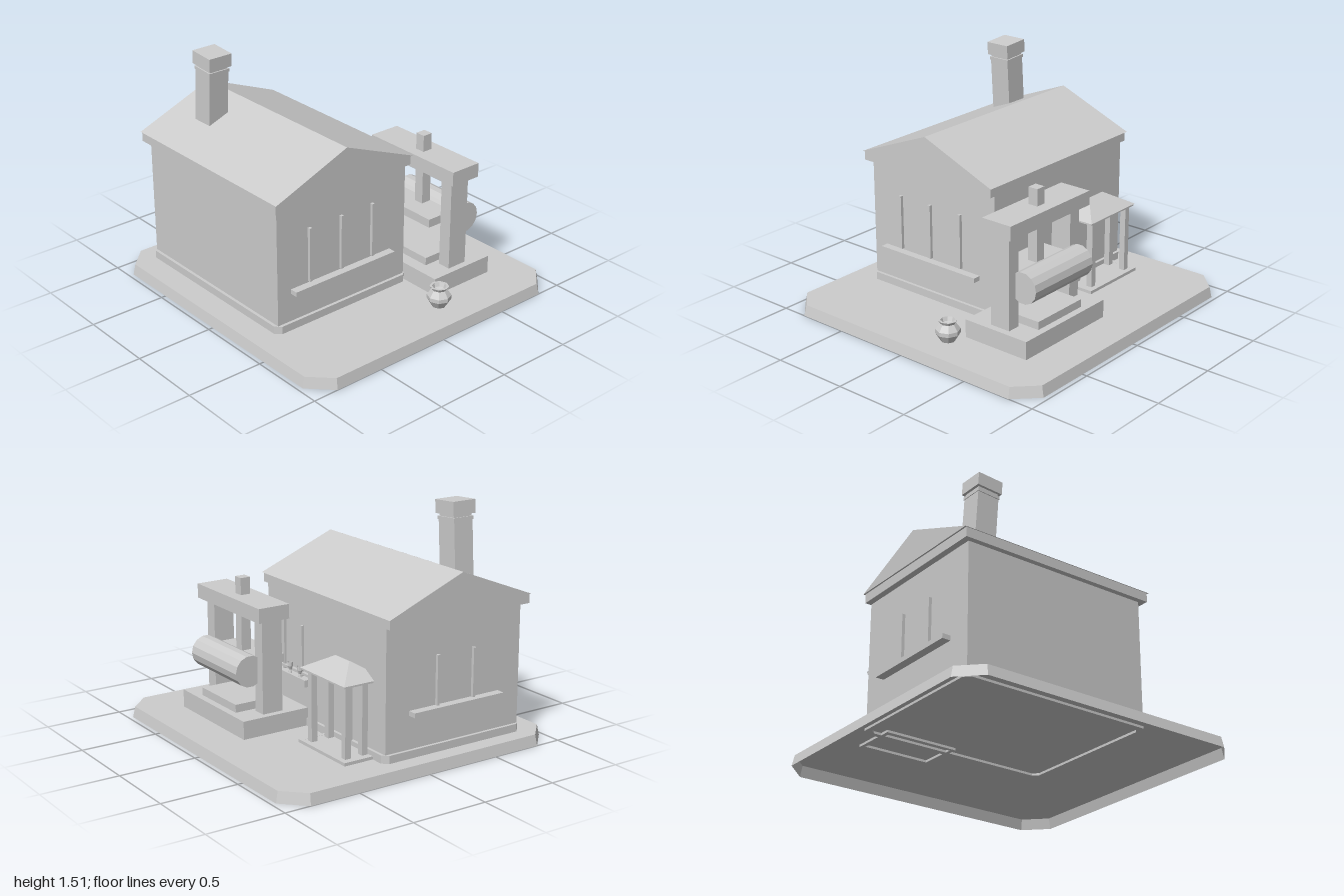
import * as THREE from 'three';

const stone = new THREE.MeshStandardMaterial({ color: 0xcccccc, flatShading: true, side: THREE.DoubleSide });
stone.name = 'pale stone';

export function createModel() {
  const root = new THREE.Group();
  root.name = 'oilPressHouse';

  const group = (name, parent = root) => {
    const g = new THREE.Group();
    g.name = name;
    parent.add(g);
    return g;
  };
  const add = (name, geometry, parent = root) => {
    const m = new THREE.Mesh(geometry, stone);
    m.name = name;
    parent.add(m);
    return m;
  };
  // Box given by its limits on each axis
  const box = (name, x0, x1, y0, y1, z0, z1, parent) => {
    const m = add(name, new THREE.BoxGeometry(x1 - x0, y1 - y0, z1 - z0), parent);
    m.position.set((x0 + x1) / 2, (y0 + y1) / 2, (z0 + z1) / 2);
    return m;
  };
  // Rectangle with cut corners, as [x, z] points
  const cutRect = (x0, x1, z0, z1, c) => [
    [x0 + c, z1], [x1 - c, z1], [x1, z1 - c], [x1, z0 + c],
    [x1 - c, z0], [x0 + c, z0], [x0, z0 + c], [x0, z1 - c],
  ];
  const rect = (x0, x1, z0, z1) => [[x0, z1], [x1, z1], [x1, z0], [x0, z0]];
  // Side walls between two rings, with a lid on the upper ring
  const loft = (lower, y0, upper, y1) => {
    const p = [], n = lower.length;
    const put = ([x, z], y) => p.push(x, y, z);
    for (let i = 0; i < n; i++) {
      const j = (i + 1) % n;
      put(lower[i], y0); put(lower[j], y0); put(upper[j], y1);
      put(lower[i], y0); put(upper[j], y1); put(upper[i], y1);
      if (i > 0 && i < n - 1) { put(upper[0], y1); put(upper[i], y1); put(upper[i + 1], y1); }
    }
    const g = new THREE.BufferGeometry();
    g.setAttribute('position', new THREE.Float32BufferAttribute(p, 3));
    g.computeVertexNormals();
    return g;
  };
  // Upright band: outer ring with an inner ring cut out
  const band = (outer, inner, y0, y1) => {
    const v = (r) => r.map(([x, z]) => new THREE.Vector2(x, -z));
    const s = new THREE.Shape(v(outer));
    s.holes.push(new THREE.Path(v(inner)));
    return new THREE.ExtrudeGeometry(s, { depth: y1 - y0, bevelEnabled: false })
      .rotateX(-Math.PI / 2).translate(0, y0, 0);
  };

  // Ground slab, hollow underneath
  add('groundSlab', loft(cutRect(-1, 1, -0.97, 0.97, 0.14), 0,
    cutRect(-0.985, 0.985, -0.955, 0.955, 0.13), 0.07));

  // House
  const house = group('house');
  box('walls', -0.86, 0.40, 0.071, 0.90, -0.22, 0.78, house);
  add('plinth', band(cutRect(-0.88, 0.42, -0.24, 0.80, 0.035),
    cutRect(-0.845, 0.385, -0.205, 0.765, 0.03), 0.055, 0.12), house);
  box('eaveBand', -0.90, 0.44, 0.885, 0.945, -0.225, 0.815, house);
  const gable = new THREE.Shape([[-0.82, 0.945], [0.235, 0.945], [-0.29, 1.155]]
    .map(([x, y]) => new THREE.Vector2(x, y)));
  add('roof', new THREE.ExtrudeGeometry(gable, { depth: 1.36, bevelEnabled: false })
    .rotateY(Math.PI / 2).translate(-0.91, 0, 0), house);

  // Leaning chimney
  const chimney = group('chimney');
  chimney.position.set(-0.592, 1.04, 0.5);
  chimney.rotation.z = -0.065;
  box('shaft', -0.074, 0.074, 0, 0.36, -0.07, 0.07, chimney);
  box('collar', -0.078, 0.078, 0.342, 0.362, -0.075, 0.075, chimney);
  box('neck', -0.07, 0.07, 0.35, 0.39, -0.066, 0.066, chimney);
  box('cap', -0.087, 0.087, 0.378, 0.462, -0.083, 0.083, chimney);

  // Slit windows and sills
  const windows = group('windows');
  for (const z of [0.54, 0.295, 0.05])
    box('leftSlit', 0.39, 0.42, 0.345, 0.70, z - 0.009, z + 0.009, windows);
  box('leftSill', 0.39, 0.452, 0.305, 0.335, -0.10, 0.68, windows);
  for (const z of [0.15, 0.42])
    box('rightSlit', -0.88, -0.85, 0.36, 0.67, z - 0.009, z + 0.009, windows);
  box('rightSill', -0.915, -0.85, 0.33, 0.36, -0.05, 0.62, windows);
  for (const x of [0.0, 0.2])
    box('backSlit', x - 0.009, x + 0.009, 0.375, 0.70, -0.237, -0.21, windows);
  box('backSill', -0.12, 0.32, 0.39, 0.405, -0.242, -0.21, windows);

  // Shelf with small cups
  const shelf = group('shelf');
  box('board', -0.09, 0.28, 0.33, 0.375, -0.27, -0.21, shelf);
  const cupProfile = [[0.001, 0], [0.012, 0], [0.007, 0.02], [0.018, 0.045], [0.018, 0.07]]
    .map(([r, y]) => new THREE.Vector2(r, y));
  for (const x of [-0.01, 0.10, 0.24])
    add('cup', new THREE.LatheGeometry(cupProfile, 8), shelf).position.set(x, 0.375, -0.253);

  // Press
  const press = group('press');
  const cx = 0.307;
  const centred = (name, half, y0, y1, z0, z1) => box(name, cx - half, cx + half, y0, y1, z0, z1, press);
  centred('platform', 0.372, 0.071, 0.187, -0.695, -0.23);
  centred('bed', 0.205, 0.187, 0.238, -0.65, -0.31);
  for (const s of [-1, 1])
    box('post', cx + s * 0.285 - 0.043, cx + s * 0.285 + 0.043, 0.187, 0.79, -0.53, -0.39, press);
  centred('crossBeam', 0.368, 0.78, 0.872, -0.575, -0.36);
  centred('spindle', 0.033, 0.50, 0.98, -0.497, -0.43);
  centred('pressPlate', 0.225, 0.46, 0.515, -0.62, -0.31);
  add('roller', new THREE.CylinderGeometry(0.1, 0.1, 0.54, 14).rotateZ(Math.PI / 2), press)
    .position.set(cx, 0.457, -0.583);

  // Small shrine against the back wall
  const shrine = group('shrine');
  add('baseRim', band(rect(-0.765, -0.28, -0.44, -0.14), rect(-0.74, -0.305, -0.415, -0.165), 0.055, 0.09), shrine);
  box('basePlate', -0.75, -0.295, 0.071, 0.089, -0.42, -0.16, shrine);
  for (const x of [-0.70, -0.35])
    for (const z of [-0.385, -0.265])
      box('column', x - 0.02, x + 0.02, 0.085, 0.54, z - 0.02, z + 0.02, shrine);
  box('innerColumn', -0.545, -0.505, 0.085, 0.54, -0.27, -0.23, shrine);
  box('roofEdge', -0.74, -0.29, 0.53, 0.545, -0.425, -0.145, shrine);
  add('hipRoof', loft(rect(-0.745, -0.285, -0.43, -0.14), 0.543,
    rect(-0.59, -0.445, -0.287, -0.283), 0.635), shrine);

  // Jar on the slab
  const jarProfile = [[0.001, 0], [0.045, 0], [0.076, 0.05], [0.076, 0.075], [0.048, 0.115], [0.06, 0.135], [0.045, 0.135], [0.035, 0.11], [0.001, 0.10]]
    .map(([r, y]) => new THREE.Vector2(r, y));
  add('jar', new THREE.LatheGeometry(jarProfile, 8)).position.set(0.775, 0.07, -0.175);

  return root;
}
